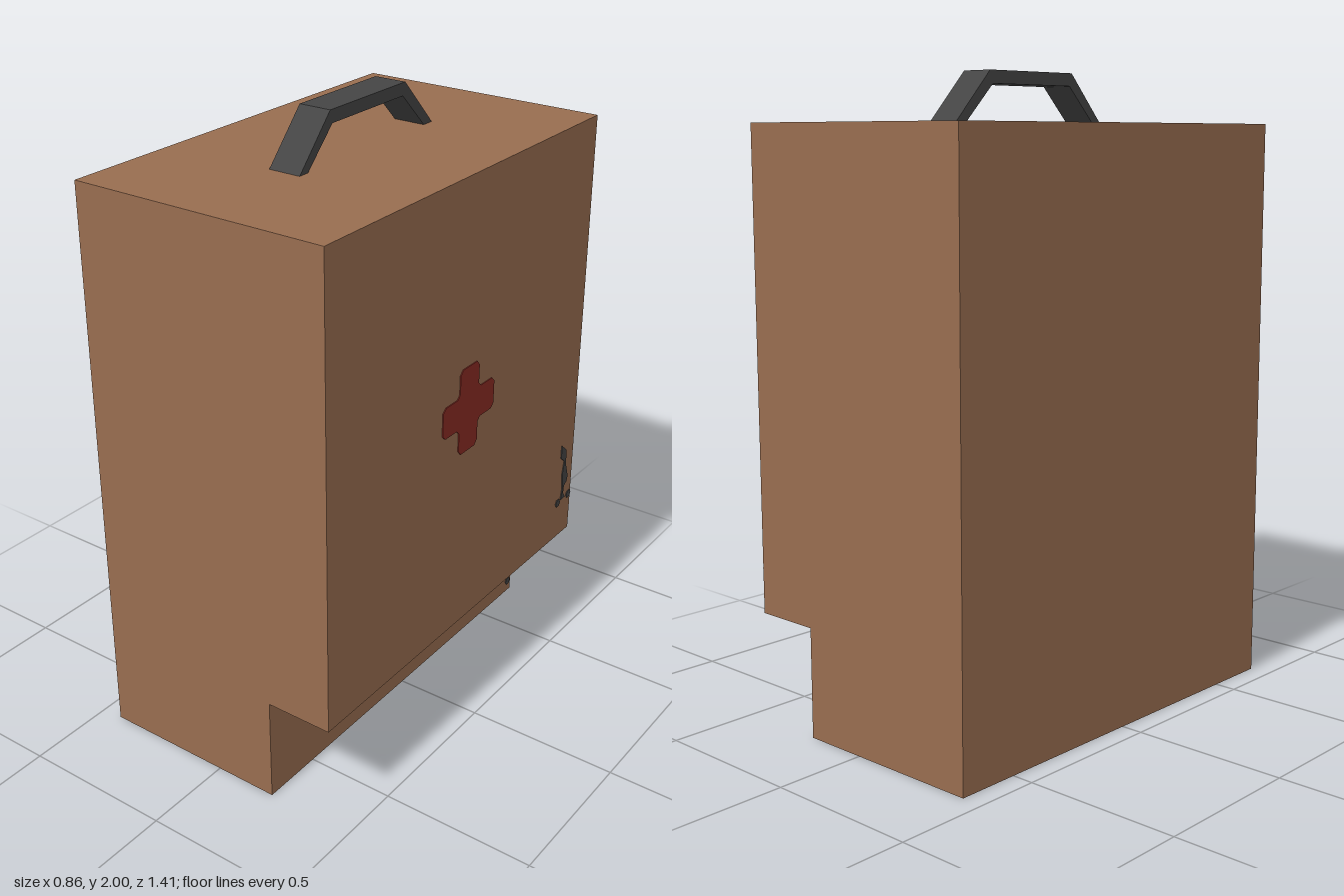
import * as THREE from 'three';

const leather = new THREE.MeshStandardMaterial({ name: 'brown', color: 0x986d50 });
const red = new THREE.MeshStandardMaterial({ name: 'red', color: 0x892b23 });
const dark = new THREE.MeshStandardMaterial({ name: 'dark grey', color: 0x454545 });

const HALF_DEPTH = 0.706;
const SIDE = 0.43; // x of the upper left side
const FOOT = 0.21; // x of the recessed lower side

// Extrude an outline of [u, v] points along z
function extrude(points, depth) {
  const shape = new THREE.Shape(points.map(([u, v]) => new THREE.Vector2(u, v)));
  return new THREE.ExtrudeGeometry(shape, { depth, bevelEnabled: false });
}

// Extrude an outline of [-z, y] points along x, starting at the given x
function extrudeSide(points, x, depth) {
  return extrude(points, depth).rotateY(Math.PI / 2).translate(x, 0, 0);
}

export function createModel() {
  const model = new THREE.Group();
  model.name = 'case';
  const add = (name, geometry, material) => {
    const mesh = new THREE.Mesh(geometry, material);
    mesh.name = name;
    model.add(mesh);
  };

  // Tall box with a stepped lower edge
  const body = extrude([
    [-0.43, 0], [FOOT, 0], [FOOT, 0.347], [SIDE, 0.347], [SIDE, 1.845], [-0.43, 1.845],
  ], HALF_DEPTH * 2).translate(0, 0, -HALF_DEPTH);
  add('body', body, leather);

  // Angular carrying handle
  add('handle', extrudeSide([
    [-0.32, 1.842], [-0.282, 1.842], [-0.165, 1.96], [0.183, 1.96], [0.302, 1.842],
    [0.345, 1.842], [0.195, 2], [-0.175, 2],
  ], -0.057, 0.108), dark);

  // Cross with clipped corners, one arm outline turned four times
  const arm = [[0.052, 0.065], [0.052, 0.127], [0.038, 0.142], [-0.038, 0.142], [-0.052, 0.127], [-0.052, 0.065]];
  const cross = [];
  for (let i = 0; i < 4; i++) {
    const c = Math.round(Math.cos(i * Math.PI / 2)), s = Math.round(Math.sin(i * Math.PI / 2));
    for (const [u, v] of arm) cross.push([u * c - v * s, 1.11 + u * s + v * c]);
  }
  add('cross', extrudeSide(cross, SIDE, 0.003), red);

  // Scuff marks near the back edge
  add('scuff', extrudeSide([
    [0.62, 0.71], [0.655, 0.68], [0.656, 0.625], [0.675, 0.57], [0.67, 0.55], [0.653, 0.54],
    [0.65, 0.51], [0.665, 0.49], [0.635, 0.49], [0.643, 0.53], [0.635, 0.59], [0.645, 0.64], [0.62, 0.66],
  ], SIDE, 0.003), dark);
  for (const [x, y, z] of [[SIDE, 0.485, -0.617], [SIDE, 0.49, -0.69], [FOOT, 0.042, -0.685]]) {
    const spot = new THREE.CylinderGeometry(0.015, 0.015, 0.003, 6).rotateZ(Math.PI / 2);
    add('scuffSpot', spot.translate(x + 0.0015, y, z), dark);
  }

  return model;
}
